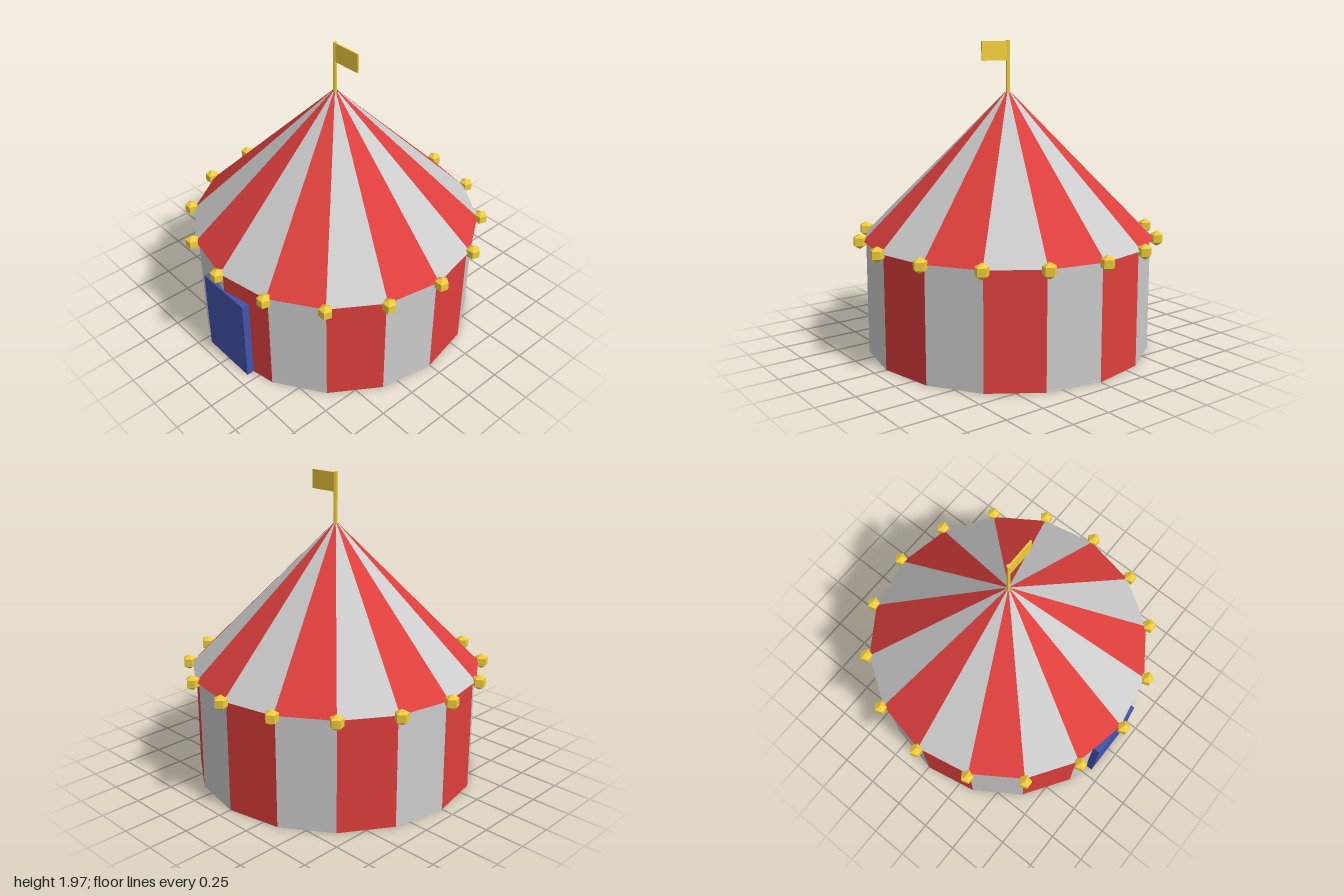
import * as THREE from 'three';
import { mergeGeometries } from 'three/addons/utils/BufferGeometryUtils.js';

const SIDES = 16;
const STEP = (Math.PI * 2) / SIDES;
const EAVE = 0.728;

const material = (color, side = THREE.FrontSide) =>
  new THREE.MeshStandardMaterial({ color, flatShading: true, side });

export function createModel() {
  const group = new THREE.Group();
  const white = material(0xcccccc, THREE.DoubleSide);
  const red = material(0xdd3f3c, THREE.DoubleSide);
  const gold = material(0xf0cc3c);
  const blue = material(0x4353ac);

  const add = (name, geometry, mat, x = 0, y = 0, z = 0, parent = group) => {
    const mesh = new THREE.Mesh(geometry, mat);
    mesh.name = name;
    mesh.position.set(x, y, z);
    parent.add(mesh);
    return mesh;
  };

  // Every second panel of a ring of cloth, open at top and bottom
  const stripes = (rTop, rBottom, y0, y1, first) => {
    const panels = [];
    for (let i = first; i < SIDES; i += 2) {
      const panel = new THREE.CylinderGeometry(rTop, rBottom, y1 - y0, 1, 1, true, i * STEP, STEP);
      panels.push(panel.translate(0, (y0 + y1) / 2, 0));
    }
    return mergeGeometries(panels);
  };

  // Striped wall
  add('wallRedPanels', stripes(0.917, 0.917, 0, EAVE, 0), red, 0, 0, 0.003);
  add('wallWhitePanels', stripes(0.917, 0.917, 0, EAVE, 1), white, 0, 0, 0.003);

  // Striped roof, with the stripes swapped and a small hole at the peak
  add('roofWhitePanels', stripes(0.02, 0.938, EAVE, 1.645, 0), white, 0, 0, 0.003);
  add('roofRedPanels', stripes(0.02, 0.938, EAVE, 1.645, 1), red, 0, 0, 0.003);

  // Faceted baubles on the corners of the eave
  const baubles = new THREE.Group();
  baubles.name = 'eaveBaubles';
  group.add(baubles);
  const bauble = new THREE.SphereGeometry(0.05, 5, 3).rotateY(-Math.PI / 2);
  for (let i = 0; i < SIDES; i++) {
    const a = i * STEP;
    add('bauble', bauble, gold, 0.958 * Math.sin(a), EAVE, 0.958 * Math.cos(a) + 0.003, baubles);
  }

  // Door block through the front wall
  add('door', new THREE.BoxGeometry(0.395, 0.58, 0.06), blue, 0, 0.29, 0.9);

  // Pole and flag
  add('flagPole', new THREE.CylinderGeometry(0.013, 0.013, 0.33, 6), gold, 0, 1.805, 0.003);
  add('flag', new THREE.BoxGeometry(0.195, 0.12, 0.01), gold, 0.1025, 1.905, 0.003);

  return group;
}
